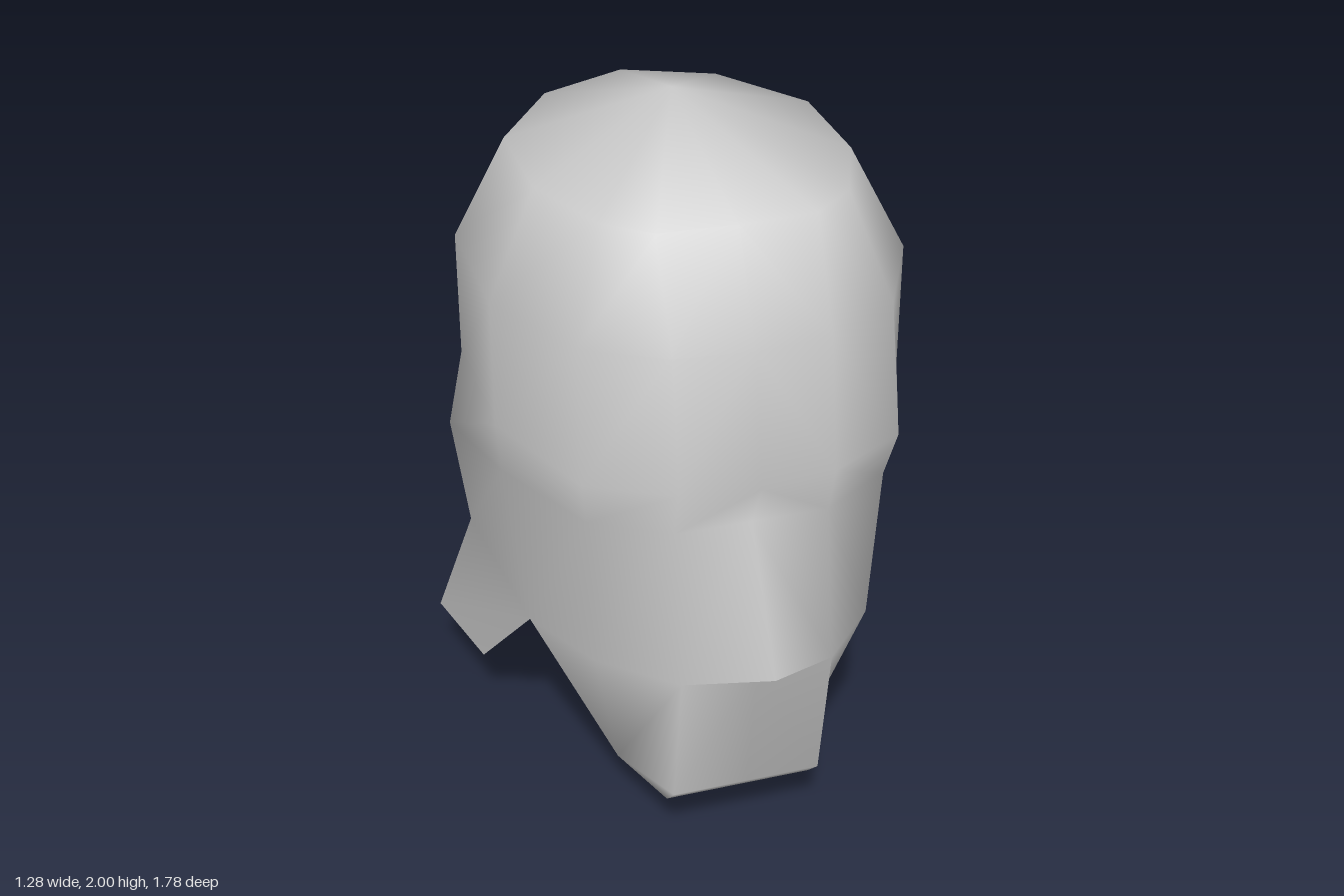
import * as THREE from 'three';
import { mergeVertices } from 'three/addons/utils/BufferGeometryUtils.js';

const shellGrey = new THREE.MeshStandardMaterial({ color: 0xcccccc, side: THREE.DoubleSide });
shellGrey.name = 'shellGrey';

// Level ring: seven [x, z] points of one half, from the back centre to the front centre
const ring = (y, points) => points.map(([x, z]) => [x, y, z]);

// Mirrored smooth skin from strips; each strip is a list of rows running downwards
function skin(strips) {
  const positions = [];
  const addTriangle = (a, b, c) => {
    const same = (p, q) => p.every((v, i) => v === q[i]);
    if (same(a, b) || same(b, c) || same(a, c)) return;
    const flip = ([x, y, z]) => [x === 0 ? 0 : -x, y, z];
    positions.push(...a, ...b, ...c, ...flip(a), ...flip(c), ...flip(b));
  };
  for (const rows of strips) {
    for (let i = 0; i < rows.length - 1; i++) {
      const top = rows[i], low = rows[i + 1];
      for (let j = 0; j < top.length - 1; j++) {
        addTriangle(top[j], top[j + 1], low[j]);
        addTriangle(top[j + 1], low[j + 1], low[j]);
      }
    }
  }
  let geometry = new THREE.BufferGeometry();
  geometry.setAttribute('position', new THREE.Float32BufferAttribute(positions, 3));
  geometry = mergeVertices(geometry);
  geometry.computeVertexNormals();
  return geometry;
}

export function createModel() {
  // Skull, from the apex down to the ears
  const apex = Array(7).fill([0, 2, -0.03]);
  const crown = ring(1.86, [[0, -0.53], [0.25, -0.42], [0.43, -0.15], [0.43, 0.18], [0.33, 0.43], [0.21, 0.53], [0, 0.54]]);
  const forehead = ring(1.58, [[0, -0.68], [0.34, -0.55], [0.57, -0.18], [0.57, 0.24], [0.42, 0.54], [0.21, 0.66], [0, 0.68]]);
  const brow = ring(1.22, [[0, -0.75], [0.36, -0.61], [0.57, -0.18], [0.57, 0.24], [0.43, 0.6], [0.21, 0.72], [0, 0.75]]);
  const ears = ring(1.08, [[0, -0.73], [0.36, -0.59], [0.64, -0.04], [0.56, 0.25], [0.41, 0.56], [0.21, 0.68], [0, 0.68]]);

  // Neck at the back, cheeks and nose tip at the front
  const middle = [
    [0, 0.72, -0.68], [0.36, 0.72, -0.54], [0.57, 0.66, -0.18],
    [0.5, 0.58, 0.25], [0.39, 0.62, 0.54], [0.21, 0.65, 0.75], [0, 0.72, 0.89],
  ];

  // Flared neck guard
  const flare = [[0, 0, -0.89], [0.36, 0, -0.89], [0.64, 0.22, -0.4], [0.57, 0.22, -0.1]];

  // Jaw, bevelled chin and its flat underside
  const underNose = [0, 0.65, 0.75];
  const jawCorner = [0.29, 0.15, 0.39];
  const cheeks = [middle[3], middle[4], middle[5], underNose];
  const chin = [jawCorner, jawCorner, [0.21, 0.22, 0.68], [0, 0.22, 0.68]];
  const chinBase = [jawCorner, jawCorner, [0.21, 0.15, 0.61], [0, 0.15, 0.61]];
  const underside = [jawCorner, jawCorner, jawCorner, [0, 0.15, 0.39]];

  const head = new THREE.Mesh(skin([
    [apex, crown, forehead, brow, ears, middle],
    [[middle[0], middle[1], middle[2], middle[3]], [...flare.slice(0, 3), flare[3]]],
    [[middle[5], middle[6]], [middle[5], underNose]],
    [cheeks, chin, chinBase, underside],
  ]), shellGrey);
  head.name = 'headShell';

  const model = new THREE.Group();
  model.name = 'headMask';
  model.add(head);
  return model;
}
